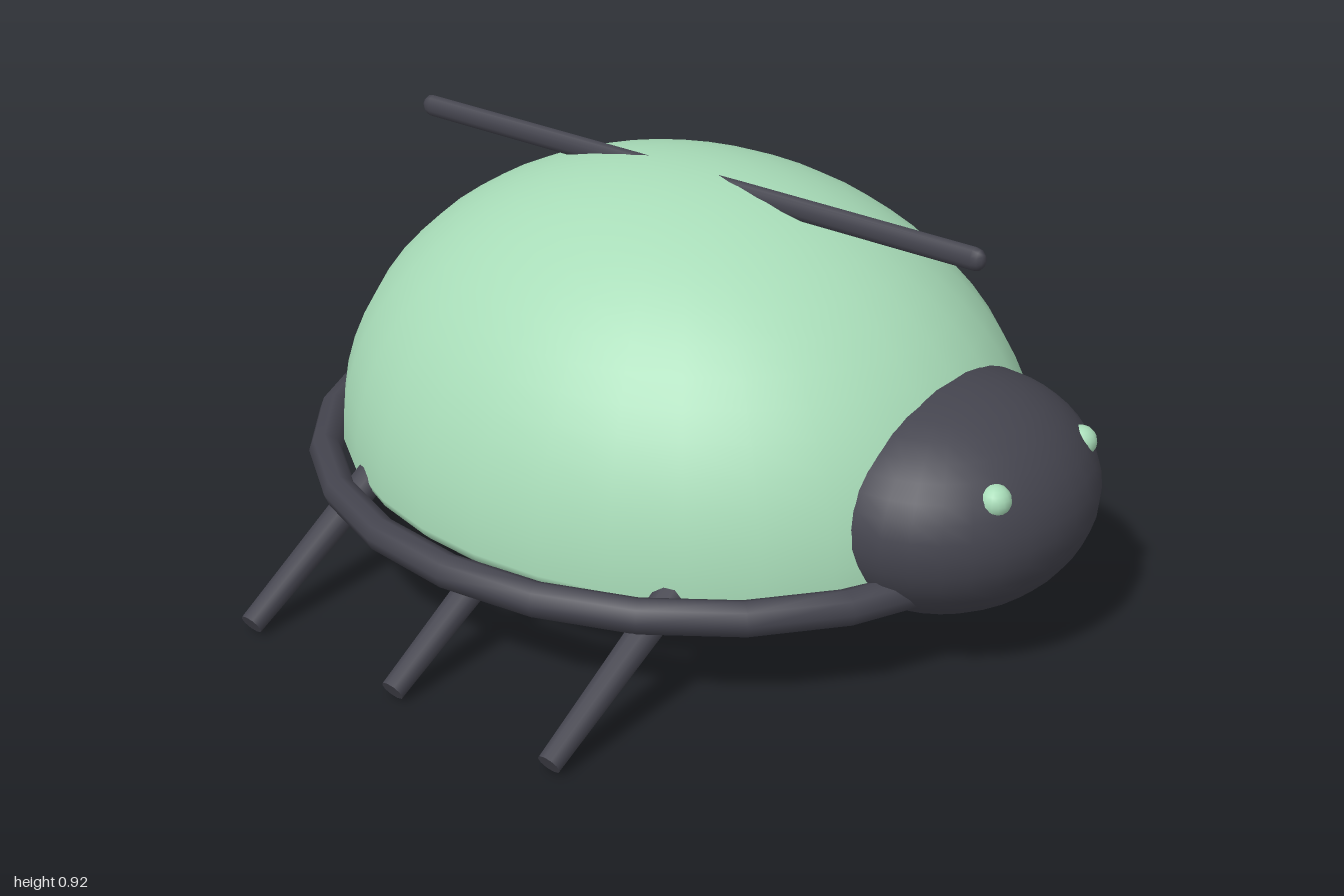
import * as THREE from 'three';

export function createModel() {
  const model = new THREE.Group();
  model.name = 'beetle';
  const green = new THREE.MeshStandardMaterial({ name: 'mint green', color: 0xa8dcb8 });
  const dark = new THREE.MeshStandardMaterial({ name: 'charcoal', color: 0x44444e });
  const cx = -0.075; // body centre

  function add(name, geometry, material, position, scale = [1, 1, 1]) {
    const mesh = new THREE.Mesh(geometry, material);
    mesh.name = name;
    mesh.position.set(...position);
    mesh.scale.set(...scale);
    model.add(mesh);
    return mesh;
  }

  // Domed shell and shallow belly share one rim
  add('shell', new THREE.SphereGeometry(1, 32, 16, 0, Math.PI * 2, 0, Math.PI / 2), green,
    [cx, 0.24, 0], [0.867, 0.682, 0.722]);
  add('belly', new THREE.SphereGeometry(1, 32, 12, 0, Math.PI * 2, Math.PI / 2, Math.PI / 2), green,
    [cx, 0.24, 0], [0.867, 0.142, 0.722]);

  // Oval rim ring
  const ringGeometry = new THREE.TorusGeometry(0.87, 0.04, 8, 24);
  ringGeometry.rotateX(Math.PI / 2);
  add('rimRing', ringGeometry, dark, [cx, 0.235, 0], [1, 1, 0.923]);

  // Head with two small eyes
  add('head', new THREE.SphereGeometry(1, 32, 20), dark, [0.66, 0.348, 0], [0.32, 0.252, 0.36]);
  for (const side of [-1, 1]) {
    add(side > 0 ? 'leftEye' : 'rightEye', new THREE.SphereGeometry(0.036, 16, 10), green,
      [0.881, 0.456, side * 0.172]);
  }

  // Rod lying along the top of the shell
  const rodGeometry = new THREE.CapsuleGeometry(0.027, 1.56, 3, 10);
  rodGeometry.rotateZ(Math.PI / 2);
  add('topRod', rodGeometry, dark, [cx, 0.89, 0], [0.992, 1, 0.72]);

  // Three tapered legs per side
  const up = new THREE.Vector3(0, 1, 0);
  for (const side of [-1, 1]) {
    [-0.51, cx, 0.365].forEach((x, i) => {
      const foot = new THREE.Vector3(x, 0.027, side * 0.985);
      const hip = new THREE.Vector3(x, 0.24, side * 0.59);
      const direction = hip.clone().sub(foot);
      const leg = add(`leg${side > 0 ? 'Front' : 'Back'}${i + 1}`,
        new THREE.CylinderGeometry(0.038, 0.027, direction.length(), 10), dark,
        foot.clone().add(hip).multiplyScalar(0.5).toArray());
      leg.quaternion.setFromUnitVectors(up, direction.normalize());
    });
  }
  return model;
}
